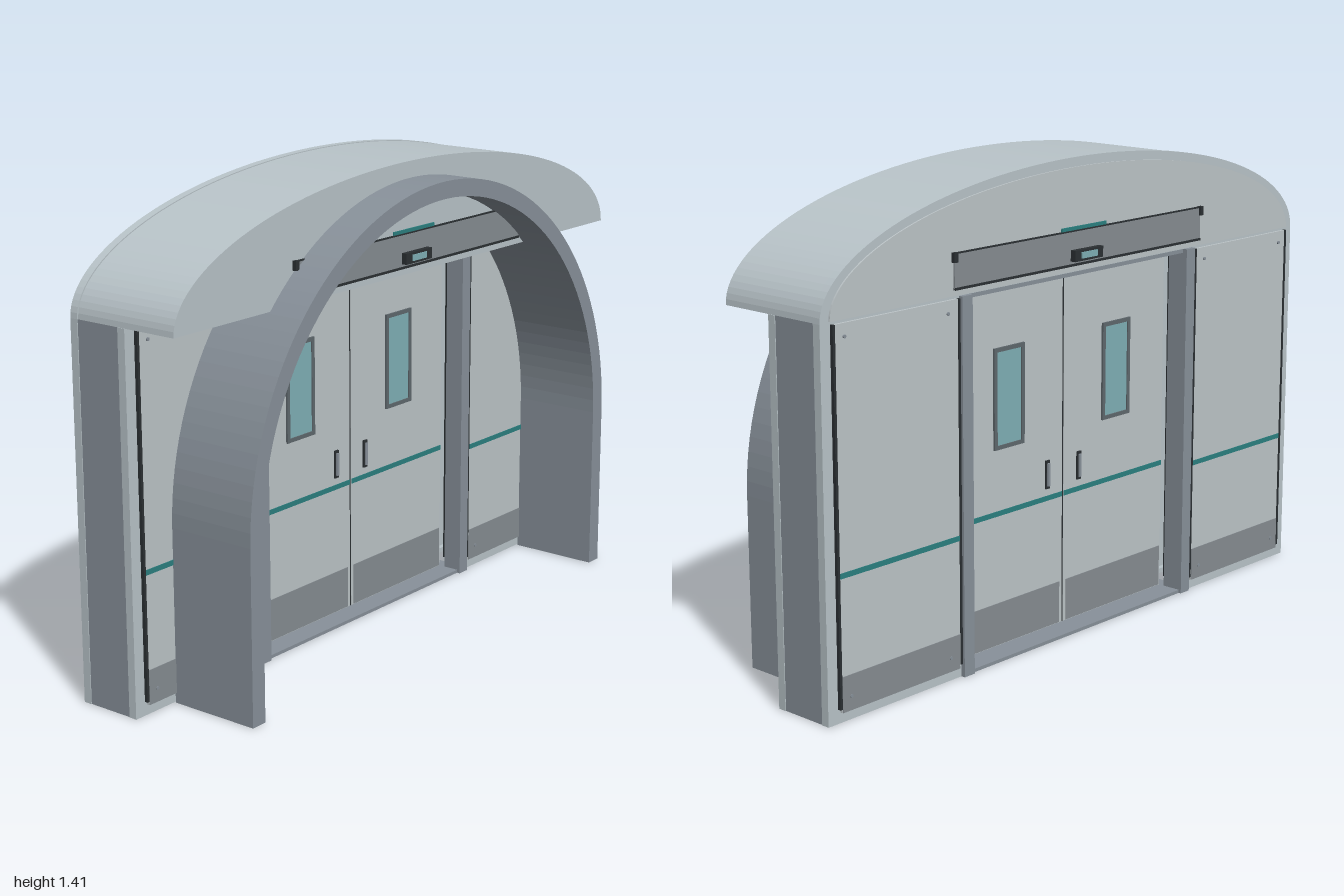
import * as THREE from 'three';

const mat = (name, color, side = THREE.FrontSide) => {
  const m = new THREE.MeshStandardMaterial({ color, side });
  m.name = name;
  return m;
};

export function createModel() {
  const root = new THREE.Group();
  root.name = 'slidingDoorEntrance';
  const light = mat('pale steel', 0xb9c4c9);
  const panel = mat('panel grey', 0xbdc5c8);
  const metal = mat('brushed metal', 0x88919a);
  const kick = mat('kick plate grey', 0x868d92);
  const dark = mat('dark rubber', 0x2b3033);
  const teal = mat('teal', 0x2b8080);
  const glass = mat('tinted glass', 0x7fb0b6);
  const frame = mat('window frame grey', 0x5f686d);

  const add = (name, geo, m, parent = root) => {
    const mesh = new THREE.Mesh(geo, m);
    mesh.name = name;
    parent.add(mesh);
    return mesh;
  };
  // box given by its low and high limits on each axis
  const box = (name, m, x0, x1, y0, y1, z0, z1, parent = root) => {
    const b = add(name, new THREE.BoxGeometry(Math.abs(x1 - x0), y1 - y0, z1 - z0), m, parent);
    b.position.set((x0 + x1) / 2, (y0 + y1) / 2, (z0 + z1) / 2);
    return b;
  };
  const extrude = (name, shape, m, z0, z1) => {
    const geo = new THREE.ExtrudeGeometry(shape, { depth: z1 - z0, bevelEnabled: false, curveSegments: 32 });
    geo.translate(0, 0, z0);
    return add(name, geo, m);
  };
  // half ellipse standing on a flat base
  const dome = (rx, ry, y) => {
    const s = new THREE.Shape();
    s.moveTo(rx, y);
    s.absellipse(0, y, rx, ry, 0, Math.PI, false, 0);
    s.closePath();
    return s;
  };

  // curved canopy
  extrude('canopy', dome(0.998, 0.323, 1.08), light, -0.198, 0.14);

  // back wall with the door opening cut from its lower edge
  const wall = new THREE.Shape();
  wall.moveTo(0.5, 0);
  wall.lineTo(1, 0);
  wall.lineTo(1, 1.08);
  wall.absellipse(0, 1.08, 1, 0.325, 0, Math.PI, false, 0);
  wall.lineTo(-1, 0);
  wall.lineTo(-0.5, 0);
  wall.lineTo(-0.5, 1.08);
  wall.lineTo(0.5, 1.08);
  wall.closePath();
  extrude('backWall', wall, light, -0.225, -0.2);
  extrude('backFascia', dome(0.97, 0.295, 1.083), panel, -0.23, -0.224);

  // free-standing front arch
  const arch = new THREE.Shape();
  arch.moveTo(0.85, 0);
  arch.lineTo(0.85, 0.505);
  arch.absarc(0, 0.505, 0.85, 0, Math.PI, false);
  arch.lineTo(-0.85, 0);
  arch.lineTo(-0.8, 0);
  arch.lineTo(-0.8, 0.505);
  arch.absarc(0, 0.505, 0.8, Math.PI, 0, true);
  arch.lineTo(0.8, 0);
  arch.closePath();
  extrude('frontArch', arch, metal, -0.025, 0.255);

  // threshold and lintel
  box('threshold', metal, -0.5, 0.5, 0, 0.01, -0.23, -0.025);
  box('thresholdUnderside', dark, -0.5, 0.5, 0, 0.002, -0.229, -0.026).position.y -= 0.0005;
  box('lintel', metal, -0.5, 0.5, 1.068, 1.08, -0.224, -0.025);
  box('lintelSeal', dark, -0.96, 0.96, 1.077, 1.083, -0.055, -0.026);

  for (const s of [-1, 1]) {
    const side = new THREE.Group();
    side.name = s > 0 ? 'leftSide' : 'rightSide';
    root.add(side);
    const sb = (name, m, x0, x1, ...r) => box(name, m, s * x0, s * x1, ...r, side);

    // pocket that the door slides into
    sb('frontWall', light, 0.5, 1, 0, 1.08, -0.055, -0.03);
    sb('endWall', metal, 0.97, 0.998, 0, 1.08, -0.2, -0.055);
    for (const z of [-0.085, -0.165]) sb('floorRail', light, 0.53, 0.96, 0.015, 0.03, z - 0.008, z + 0.008);

    // door posts with a slot between them
    sb('frontPost', metal, 0.46, 0.5, 0, 1.08, -0.075, -0.015);
    sb('backPost', metal, 0.46, 0.5, 0, 1.08, -0.238, -0.17);
    for (const z of [-0.08, -0.167]) sb('postSeal', dark, 0.463, 0.48, 0.04, 1.07, z - 0.003, z + 0.003);

    // fixed panels on both faces
    for (const f of [1, -1]) {
      const z = f > 0 ? -0.026 : -0.229; // centre of the panel
      const layer = (name, m, x0, x1, y0, y1, out, t = 0.004) => {
        const c = z + f * out;
        return sb(name, m, x0, x1, y0, y1, c - t / 2, c + t / 2);
      };
      layer('fixedPanel', panel, 0.512, 0.957, 0.03, 1.075, 0, 0.008);
      layer('innerSeal', dark, 0.504, 0.512, 0.04, 1.075, 0, 0.012);
      layer('outerSeal', dark, 0.957, 0.965, 0.04, 1.075, 0, 0.012);
      layer('panelKickPlate', kick, 0.515, 0.956, 0.03, 0.13, 0.004);
      layer('panelStripe', teal, 0.513, 0.956, 0.4, 0.415, 0.004);
      for (const x of [0.55, 0.925]) for (const y of [0.07, 1.04]) {
        const screw = add('screw', new THREE.CylinderGeometry(0.005, 0.005, 0.005, 10), metal, side);
        screw.rotation.x = Math.PI / 2;
        screw.position.set(s * x, y, z + f * 0.0055);
      }
    }

    // sliding door leaf
    sb('doorLeaf', panel, 0.003, 0.455, 0.012, 1.068, -0.155, -0.092);
    for (const f of [1, -1]) {
      const z = f > 0 ? -0.092 : -0.155;
      const layer = (name, m, x0, x1, y0, y1, t) => sb(name, m, x0, x1, y0, y1, z - t, z + t);
      layer('doorKickPlate', kick, 0.015, 0.45, 0.014, 0.14, 0.002);
      layer('doorStripe', teal, 0.005, 0.454, 0.4, 0.415, 0.002);
      layer('windowGlass', glass, 0.182, 0.282, 0.608, 0.878, 0.003);
      for (const x of [0.17, 0.282]) layer('windowSide', frame, x, x + 0.012, 0.596, 0.89, 0.006);
      for (const y of [0.596, 0.878]) layer('windowRail', frame, 0.17, 0.294, y, y + 0.012, 0.006);
      layer('handlePlate', dark, 0.06, 0.077, 0.437, 0.522, 0.005);
      layer('handleGrip', metal, 0.064, 0.073, 0.445, 0.514, 0.01);
    }
  }
  box('centreSeal', dark, -0.004, 0.004, 0.012, 1.068, -0.154, -0.093);

  // operator header, sensor and status light on both faces
  for (const f of [1, -1]) {
    const g = new THREE.Group();
    g.name = f > 0 ? 'frontHeader' : 'backHeader';
    g.position.z = f > 0 ? 0.14 : -0.23;
    g.scale.z = f;
    root.add(g);
    box('headerCover', kick, -0.525, 0.525, 1.1, 1.2, -0.004, 0.005, g);
    box('headerLowerTrim', dark, -0.525, 0.525, 1.099, 1.106, -0.004, 0.007, g);
    box('headerTopTrim', dark, -0.525, 0.525, 1.197, 1.201, -0.004, 0.006, g);
    for (const s of [-1, 1]) box('headerEndCap', dark, s * 0.518, s * 0.532, 1.175, 1.202, -0.004, 0.012, g);
    box('statusLight', teal, -0.095, 0.095, 1.201, 1.211, -0.004, 0.004, g);
    box('sensorBody', dark, -0.06, 0.06, 1.114, 1.146, 0, 0.022, g);
    box('sensorLens', glass, -0.033, 0.033, 1.121, 1.139, 0.018, 0.025, g);
  }
  return root;
}
